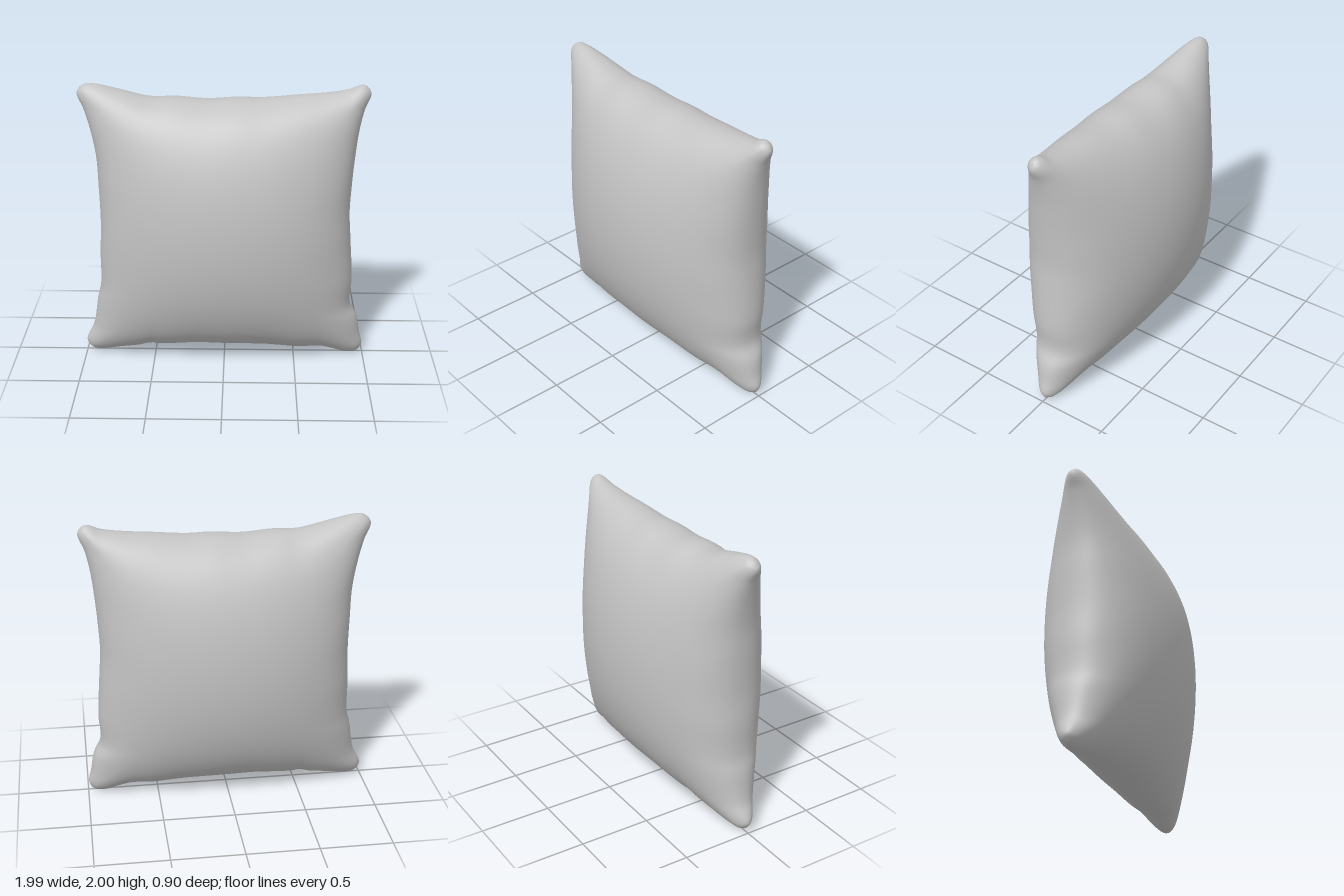
import * as THREE from 'three';
import { mergeGeometries, mergeVertices } from 'three/addons/utils/BufferGeometryUtils.js';

// Smooth curve through [position along the edge, offset from the centre] pairs
function edgeCurve(points) {
  const curve = new THREE.CubicInterpolant(points.map(p => p[0]), points.map(p => p[1]), 1, [0]);
  return t => curve.evaluate(t)[0];
}

// Slightly uneven seam outline, one curve per side
const topEdge = edgeCurve([[-1, 0.975], [-0.96, 0.998], [-0.9, 0.998], [-0.75, 0.965], [-0.5, 0.905], [-0.35, 0.908],
  [-0.12, 0.89], [0.1, 0.903], [0.25, 0.9], [0.5, 0.922], [0.7, 0.94], [0.85, 0.965], [0.96, 0.998], [1, 0.975]]);
const bottomEdge = edgeCurve([[-1, -0.965], [-0.96, -0.985], [-0.9, -0.985], [-0.75, -0.96], [-0.62, -0.94], [-0.54, -0.917],
  [-0.48, -0.923], [-0.2, -0.906], [0, -0.91], [0.3, -0.917], [0.55, -0.94], [0.7, -0.938], [0.95, -0.995], [1, -0.975]]);
const leftEdge = edgeCurve([[-1, 0.975], [-0.95, 0.993], [-0.85, 0.975], [-0.7, 0.945], [-0.62, 0.903], [-0.4, 0.905],
  [-0.1, 0.885], [0.1, 0.872], [0.3, 0.88], [0.5, 0.895], [0.7, 0.918], [0.85, 0.95], [0.96, 0.988], [1, 0.975]]);
const rightEdge = edgeCurve([[-1, -0.975], [-0.95, -1], [-0.8, -0.945], [-0.56, -0.905], [-0.48, -0.885], [-0.2, -0.877],
  [0, -0.867], [0.3, -0.873], [0.5, -0.882], [0.7, -0.918], [0.85, -0.96], [0.96, -1], [1, -0.98]]);

// Regular inward bow; the uneven outline only takes over near the seam
const bow = t => 0.88 + 0.11 * Math.abs(t) ** 3;
function spread(a, b, low, high) {
  const edge = a < 0 ? -low(b) : high(b);
  return a * (bow(b) + Math.abs(a) ** 5 * (edge - bow(b)));
}

// One puffed face of the pillow; side is 1 for front, -1 for back
function panel(side) {
  const geometry = new THREE.PlaneGeometry(2, 2, 80, 80);
  const pos = geometry.attributes.position;
  for (let i = 0; i < pos.count; i++) {
    const u = side * Math.sin(pos.getX(i) * Math.PI / 2);
    const v = Math.sin(pos.getY(i) * Math.PI / 2);
    const m = Math.min(1, Math.max(Math.abs(u), Math.abs(v)));
    const puff = Math.max(0, (1 - u * u) * (1 - v * v)) ** 0.46;
    const rim = Math.sqrt(Math.max(0, 1 - m ** 10));
    // Faint puckers gathered along the seam
    const pucker = 0.007 * rim * m ** 8 * (Math.sin(13 * u + side) + Math.sin(15 * v + 2 * side));
    const z = m > 0.999999 ? 0 : side * (0.43 * puff + 0.02 * rim + pucker * puff);
    pos.setXYZ(i, spread(u, v, rightEdge, leftEdge), 1 + spread(v, u, bottomEdge, topEdge), z);
  }
  geometry.deleteAttribute('uv');
  geometry.deleteAttribute('normal');
  return geometry;
}

export function createModel() {
  const fabric = new THREE.MeshStandardMaterial({ color: 0xc4c4c4 });
  fabric.name = 'grey fabric';

  // Sew both faces together along the seam
  const geometry = mergeVertices(mergeGeometries([panel(1), panel(-1)]), 1e-5);
  geometry.computeVertexNormals();
  const pillow = new THREE.Mesh(geometry, fabric);
  pillow.name = 'pillow';

  const model = new THREE.Group();
  model.name = 'throwPillow';
  model.add(pillow);
  return model;
}
